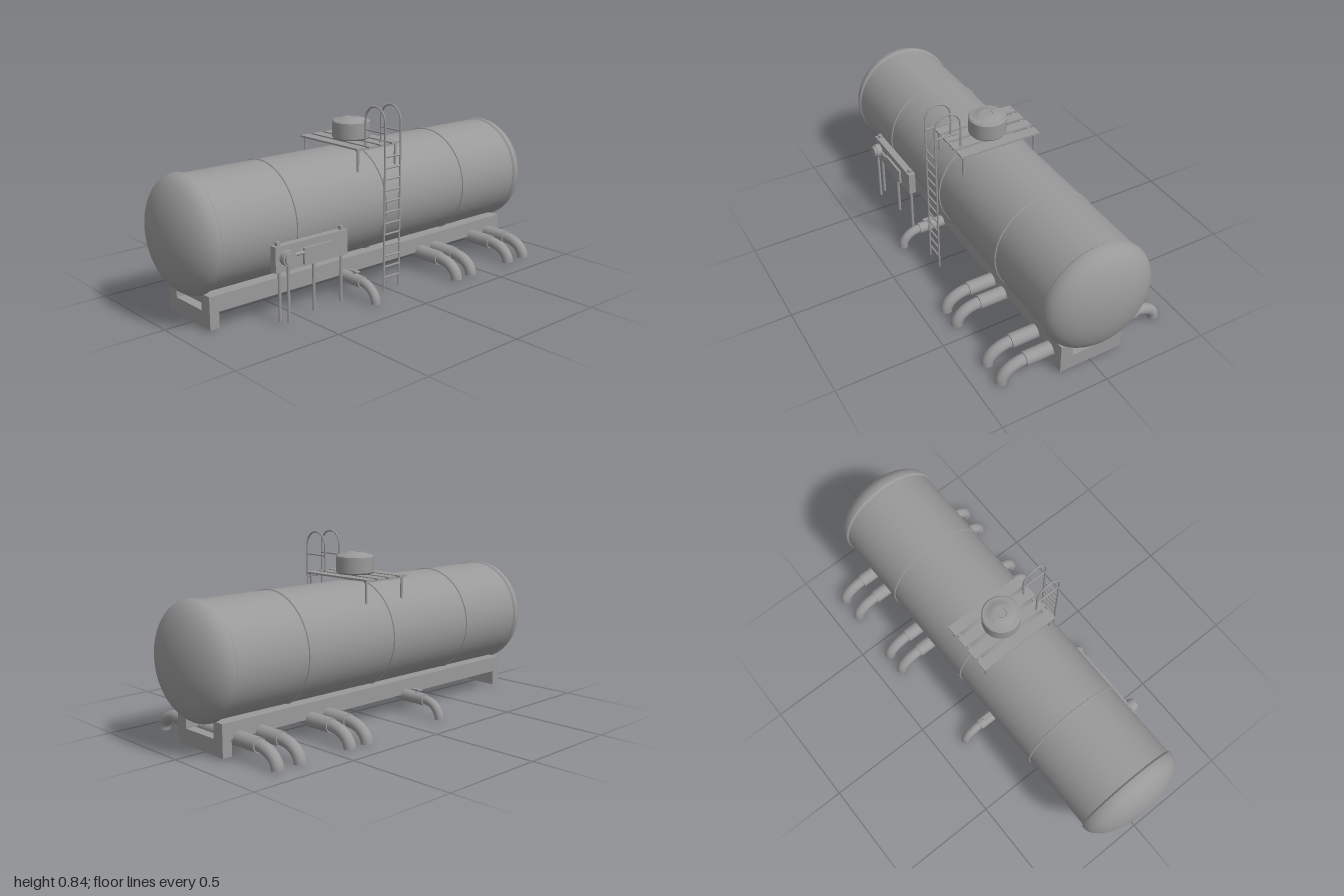
import * as THREE from 'three';
import { toCreasedNormals } from 'three/addons/utils/BufferGeometryUtils.js';

const material = new THREE.MeshStandardMaterial({ color: 0x999999 });
const V = (x, y, z) => new THREE.Vector3(x, y, z);

export function createModel() {
  const root = new THREE.Group();
  const group = (name) => {
    const g = new THREE.Group();
    g.name = name;
    root.add(g);
    return g;
  };
  const add = (parent, name, geometry, x = 0, y = 0, z = 0) => {
    const mesh = new THREE.Mesh(geometry, material);
    mesh.name = name;
    mesh.position.set(x, y, z);
    parent.add(mesh);
    return mesh;
  };
  // Box given by its minimum and maximum corners
  const box = (parent, name, x0, x1, y0, y1, z0, z1) =>
    add(parent, name, new THREE.BoxGeometry(x1 - x0, y1 - y0, z1 - z0),
      (x0 + x1) / 2, (y0 + y1) / 2, (z0 + z1) / 2);
  // Round bar between two points
  const rod = (parent, name, a, b, r, sides = 12) => {
    const mesh = add(parent, name, new THREE.CylinderGeometry(r, r, a.distanceTo(b), sides));
    mesh.position.copy(a).add(b).multiplyScalar(0.5);
    mesh.quaternion.setFromUnitVectors(V(0, 1, 0), b.clone().sub(a).normalize());
    return mesh;
  };
  const lathe = (points, sides) => toCreasedNormals(
    new THREE.LatheGeometry(points.map(([r, y]) => new THREE.Vector2(r, y)), sides), 0.6);

  // Tank: barrel, dished ends with a small lip, and seam bands along x
  const tank = group('tank');
  const R = 0.246;
  const lip = 0.254;
  const profile = [];
  for (let i = 0; i <= 14; i++) {
    const a = (i / 14) * Math.PI / 2;
    profile.push([lip * Math.sin(a), -0.88 - 0.12 * Math.cos(a)]);
  }
  profile.push([lip, -0.876], [R, -0.868]);
  add(tank, 'barrel', lathe([...profile, ...profile.map(([r, y]) => [r, -y]).reverse()], 64));
  for (const x of [-0.5, 0, 0.5]) {
    add(tank, 'seamBand', lathe([[R - 0.002, x - 0.006], [0.251, x - 0.003],
      [0.251, x + 0.003], [R - 0.002, x + 0.006]], 64));
  }
  tank.rotation.z = -Math.PI / 2;
  tank.position.y = 0.378;

  // Skid: two long beams and a foot across each end
  const skid = group('skid');
  for (const s of [-1, 1]) {
    const z = s * 0.124;
    box(skid, 'longBeam', -0.88, 0.88, 0.078, 0.15, z - 0.029, z + 0.029);
    box(skid, 'endFoot', s * 0.8575 - 0.0225, s * 0.8575 + 0.0225, 0.008, 0.078, -0.153, 0.153);
  }

  // Cross pipes: sleeves at both sides, elbows turned down to the ground
  const pipes = group('crossPipes');
  const py = 0.075;
  const crossPipe = (x, r, reach) => {
    rod(pipes, 'pipe', V(x, py, -0.28), V(x, py, 0.28), r, 20);
    for (const s of [-1, 1]) {
      rod(pipes, 'sleeve', V(x, py, s * 0.14), V(x, py, s * 0.28), r + 0.006, 20);
      const arc = [];
      for (let i = 0; i <= 8; i++) {
        const a = (i / 8) * Math.PI / 2;
        arc.push(V(x, py * Math.cos(a), s * (0.278 + (reach - 0.278) * Math.sin(a))));
      }
      add(pipes, 'elbow', new THREE.TubeGeometry(new THREE.CatmullRomCurve3(arc), 14, r, 16));
      const cap = add(pipes, 'elbowEnd', new THREE.CircleGeometry(r, 16), x, 0.0005, s * reach);
      cap.rotation.x = Math.PI / 2;
    }
  };
  for (const x of [0.315, 0.414, 0.682, 0.796]) crossPipe(x, 0.0265, 0.389);
  crossPipe(-0.172, 0.021, 0.365);
  for (const s of [-1, 1]) {
    rod(pipes, 'valveStem', V(-0.172, py, s * 0.228), V(-0.172, 0.118, s * 0.228), 0.008);
    box(pipes, 'valveLever', -0.182, -0.162, 0.111, 0.116, s * 0.228 - 0.025, s * 0.228 + 0.025);
  }

  // Control panel on posts with a round valve and cabinet
  const panel = group('controlPanel');
  box(panel, 'panelBoard', -0.64, -0.258, 0.225, 0.336, 0.244, 0.277);
  for (const x of [-0.61, -0.43, -0.28]) {
    rod(panel, 'panelPost', V(x, 0.008, 0.26), V(x, 0.24, 0.26), 0.007);
  }
  for (const x of [-0.617, -0.28]) box(panel, 'panelLug', x - 0.009, x + 0.009, 0.33, 0.352, 0.252, 0.268);
  rod(panel, 'valvePost', V(-0.588, 0.008, 0.291), V(-0.588, 0.285, 0.291), 0.0065);
  rod(panel, 'valveBody', V(-0.588, 0.285, 0.27), V(-0.588, 0.285, 0.304), 0.033, 24);
  rod(panel, 'valveFace', V(-0.588, 0.285, 0.3), V(-0.588, 0.285, 0.315), 0.027, 24);
  rod(panel, 'valveArm', V(-0.588, 0.287, 0.281), V(-0.49, 0.287, 0.281), 0.008);
  box(panel, 'cabinet', -0.5, -0.348, 0.235, 0.306, 0.27, 0.288);

  // Ladder with hooped hand rails
  const ladder = group('ladder');
  for (const x of [-0.046, 0.046]) {
    const path = new THREE.CurvePath();
    const hoop = [];
    for (let i = 0; i <= 12; i++) {
      const a = (i / 12) * Math.PI;
      hoop.push(V(x, 0.762 + 0.066 * Math.sin(a), 0.219 + 0.062 * Math.cos(a)));
    }
    path.add(new THREE.LineCurve3(V(x, 0.004, 0.281), hoop[0]));
    path.add(new THREE.CatmullRomCurve3(hoop));
    path.add(new THREE.LineCurve3(hoop[12], V(x, 0.648, 0.157)));
    add(ladder, 'rail', new THREE.TubeGeometry(path, 90, 0.0045, 8));
    rod(ladder, 'hoopBrace', V(x, 0.72, 0.281), V(x, 0.72, 0.157), 0.004, 8);
    rod(ladder, 'railFoot', V(x, 0.645, 0.157), V(x, 0.655, 0.157), 0.008);
  }
  for (let i = 0; i < 12; i++) {
    const y = 0.065 + i * 0.05;
    rod(ladder, 'rung', V(-0.046, y, 0.281), V(0.046, y, 0.281), 0.0045, 8);
  }

  // Platform: four planks on bearers and posts
  const platform = group('platform');
  for (const x of [-0.1035, -0.0345, 0.0345, 0.1035]) {
    box(platform, 'plank', x - 0.026, x + 0.026, 0.642, 0.65, -0.198, 0.195);
  }
  for (const s of [-1, 1]) {
    box(platform, 'bearer', -0.12, 0.12, 0.635, 0.642, s * 0.18 - 0.007, s * 0.18 + 0.007);
    for (const x of [-0.112, 0.112]) {
      rod(platform, 'post', V(x, 0.54, s * 0.18), V(x, 0.64, s * 0.18), 0.006);
    }
  }

  // Hatch: neck, drum and shallow domed lid
  add(root, 'hatch', lathe([[0.045, 0.6], [0.045, 0.63], [0.06, 0.642], [0.06, 0.651], [0.08, 0.651],
    [0.086, 0.658], [0.086, 0.729], [0.08, 0.735], [0.062, 0.735], [0.05, 0.743],
    [0.035, 0.747], [0.024, 0.748], [0.022, 0.745], [0, 0.745]], 40), 0.007, 0, 0);

  return root;
}
